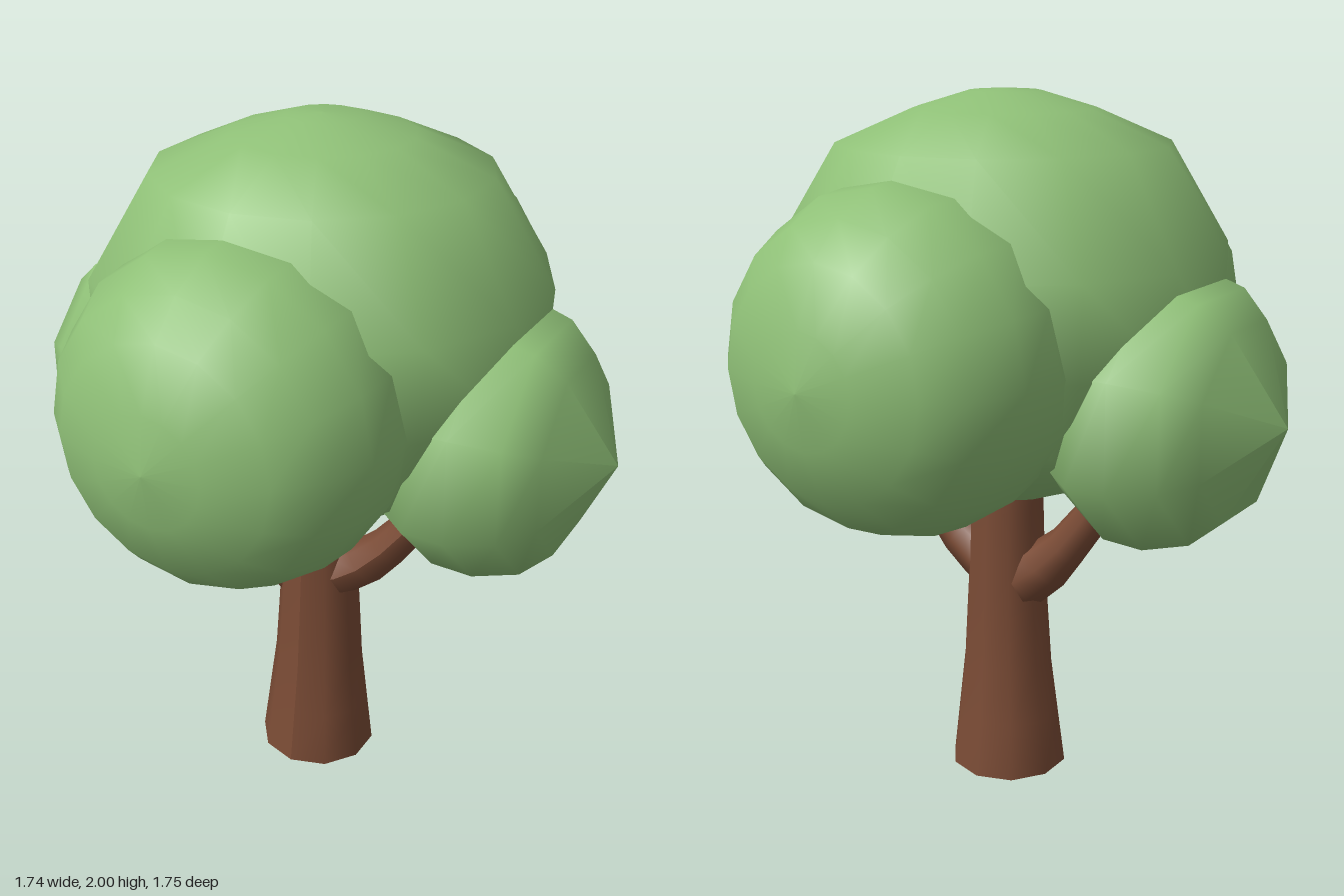
import * as THREE from 'three';

// Tapered limb: a cylinder whose rings follow a curve in the xy plane
function limb(points, radii, sides, rings) {
  const curve = new THREE.CatmullRomCurve3(points.map(([x, y]) => new THREE.Vector3(x, y, 0)));
  const geo = new THREE.CylinderGeometry(1, 1, 1, sides, rings);
  const pos = geo.attributes.position;
  for (let i = 0; i < pos.count; i++) {
    const t = THREE.MathUtils.clamp(pos.getY(i) + 0.5, 0, 1);
    const c = curve.getPoint(t);
    const d = curve.getTangent(t);
    const k = t * (radii.length - 1);
    const n = Math.min(Math.floor(k), radii.length - 2);
    const r = THREE.MathUtils.lerp(radii[n], radii[n + 1], k - n);
    const px = pos.getX(i) * r;
    pos.setXYZ(i, c.x + d.y * px, c.y - d.x * px, pos.getZ(i) * r);
  }
  geo.computeVertexNormals();
  return geo;
}

// Leaf clump: a revolved profile of [radius, height] points
function clump(profile, sides, phase = 0) {
  return new THREE.LatheGeometry(profile.map(([r, h]) => new THREE.Vector2(r, h)), sides, phase);
}

export function createModel() {
  const tree = new THREE.Group();
  tree.name = 'tree';
  const leaves = new THREE.MeshStandardMaterial({ color: 0x8fc077 });
  leaves.name = 'leaf green';
  const bark = new THREE.MeshStandardMaterial({ color: 0x7a4b35 });
  bark.name = 'bark brown';
  const add = (name, geo, mat) => {
    const mesh = new THREE.Mesh(geo, mat);
    mesh.name = name;
    tree.add(mesh);
    return mesh;
  };

  // Trunk and two upswept branches
  add('trunk', limb([[-0.018, 0], [-0.013, 0.33], [-0.01, 0.66], [-0.01, 0.98]],
    [0.175, 0.135, 0.115, 0.105], 10, 6), bark);
  add('leftBranch', limb([[0.02, 0.62], [0.11, 0.66], [0.22, 0.76], [0.32, 0.89], [0.37, 0.97]],
    [0.085, 0.075, 0.06, 0.05, 0.045], 8, 6), bark);
  add('rightBranch', limb([[-0.03, 0.58], [-0.12, 0.63], [-0.22, 0.73], [-0.32, 0.87], [-0.37, 0.96]],
    [0.095, 0.085, 0.062, 0.052, 0.045], 8, 6), bark);

  // Central crown
  add('crown', clump([[0, 0.88], [0.25, 0.91], [0.5, 1.08], [0.62, 1.33], [0.63, 1.58],
    [0.46, 1.86], [0.25, 1.95], [0.1, 1.995], [0, 2]], 14), leaves);

  // Large clumps at front and back, revolved about z
  const large = clump([[0, 0], [0.3, 0.1], [0.43, 0.26], [0.465, 0.44], [0.45, 0.57],
    [0.39, 0.7], [0.3, 0.79], [0.15, 0.855], [0, 0.875]], 16);
  large.rotateX(Math.PI / 2).translate(0, 1.345, 0);
  add('frontClump', large, leaves);
  add('backClump', large, leaves).rotation.y = Math.PI;

  // Small clumps at the sides, revolved about x
  const small = clump([[0, 0.18], [0.28, 0.27], [0.38, 0.42], [0.385, 0.54], [0.345, 0.67],
    [0.27, 0.75], [0, 0.87]], 8, Math.PI / 8);
  small.rotateZ(-Math.PI / 2).translate(0, 1.19, 0);
  add('leftClump', small, leaves);
  add('rightClump', small, leaves).rotation.y = Math.PI;

  return tree;
}
